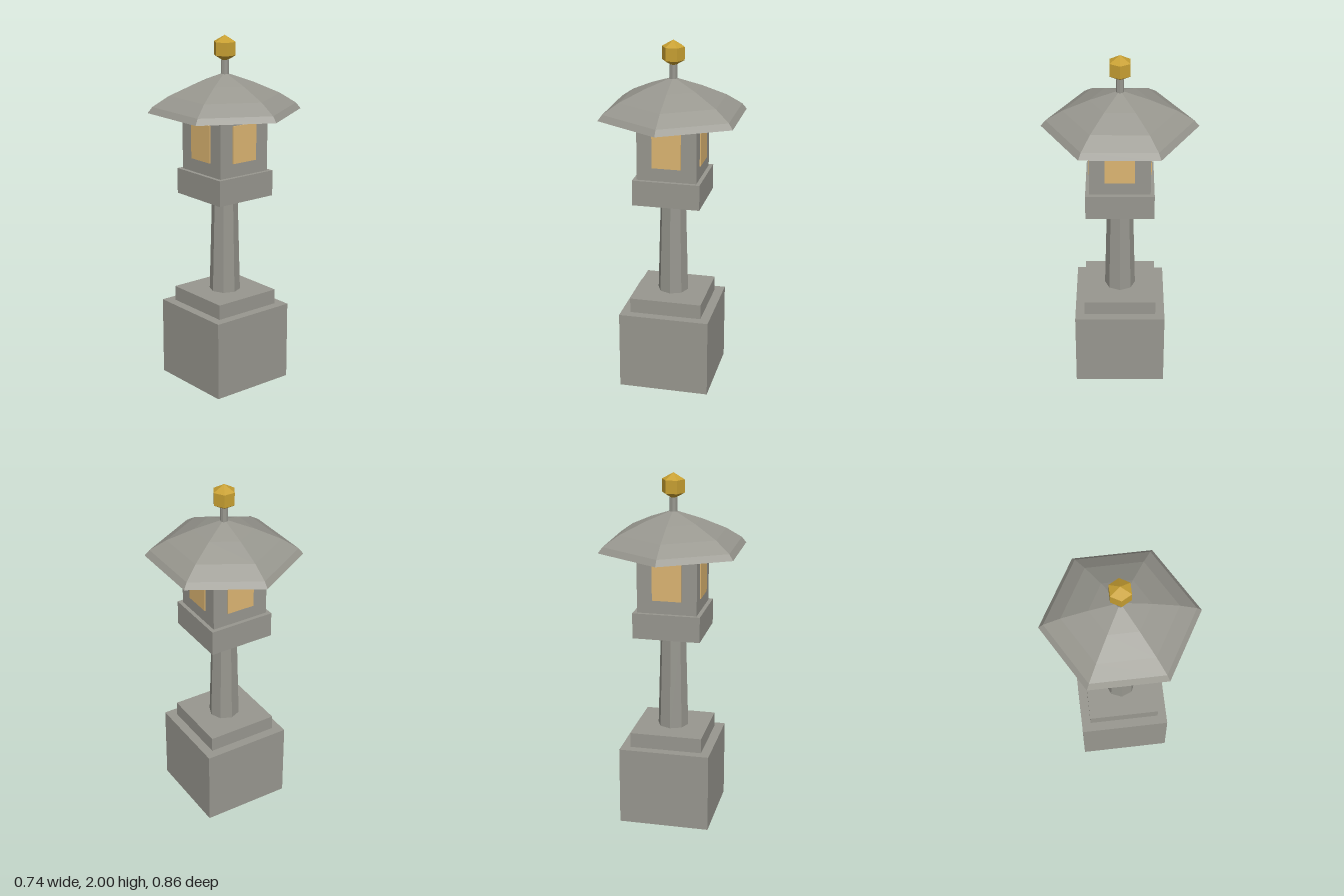
import * as THREE from 'three';

const mat = (name, color) => {
  const m = new THREE.MeshStandardMaterial({ color, flatShading: true });
  m.name = name;
  return m;
};

export function createModel() {
  const stone = mat('stone', 0x98978f);
  const paper = mat('warm paper', 0xdcb572);
  const gold = mat('gold', 0xc8a032);
  const lantern = new THREE.Group();
  lantern.name = 'stoneLantern';

  const add = (name, geometry, material, y = 0) => {
    const mesh = new THREE.Mesh(geometry, material);
    mesh.name = name;
    mesh.position.y = y;
    lantern.add(mesh);
    return mesh;
  };

  // Square blocks: name, width, bottom, top
  const blocks = [
    ['base', 0.515, 0, 0.45],
    ['step', 0.41, 0.45, 0.535],
    ['platform', 0.38, 1.1, 1.245],
    ['lightChamber', 0.336, 1.245, 1.58],
  ];
  for (const [name, w, y0, y1] of blocks) {
    add(name, new THREE.BoxGeometry(w, y1 - y0, w), stone, (y0 + y1) / 2);
  }

  // Tapered octagonal column
  add('column', new THREE.CylinderGeometry(0.073, 0.088, 0.565, 8), stone, 0.8175);

  // One glowing panel on each side of the chamber
  for (let i = 0; i < 4; i++) {
    const a = (i * Math.PI) / 2;
    const pane = add('window', new THREE.BoxGeometry(0.164, 0.21, 0.009), paper, 1.425);
    pane.position.x = Math.sin(a) * 0.1695;
    pane.position.z = Math.cos(a) * 0.1695;
    pane.rotation.y = a;
  }

  // Curved six-sided roof with a flat underside
  const profile = [[0, 1.58], [0.43, 1.58], [0.403, 1.613], [0.31, 1.672], [0.165, 1.736], [0, 1.795]];
  const roof = new THREE.LatheGeometry(profile.map(([r, y]) => new THREE.Vector2(r, y)), 6);
  add('roof', roof, stone);

  // Finial stem and faceted ball
  add('finialStem', new THREE.CylinderGeometry(0.022, 0.022, 0.09, 8), stone, 1.82);
  add('finialBall', new THREE.SphereGeometry(0.073, 6, 3), gold, 1.927);

  return lantern;
}
